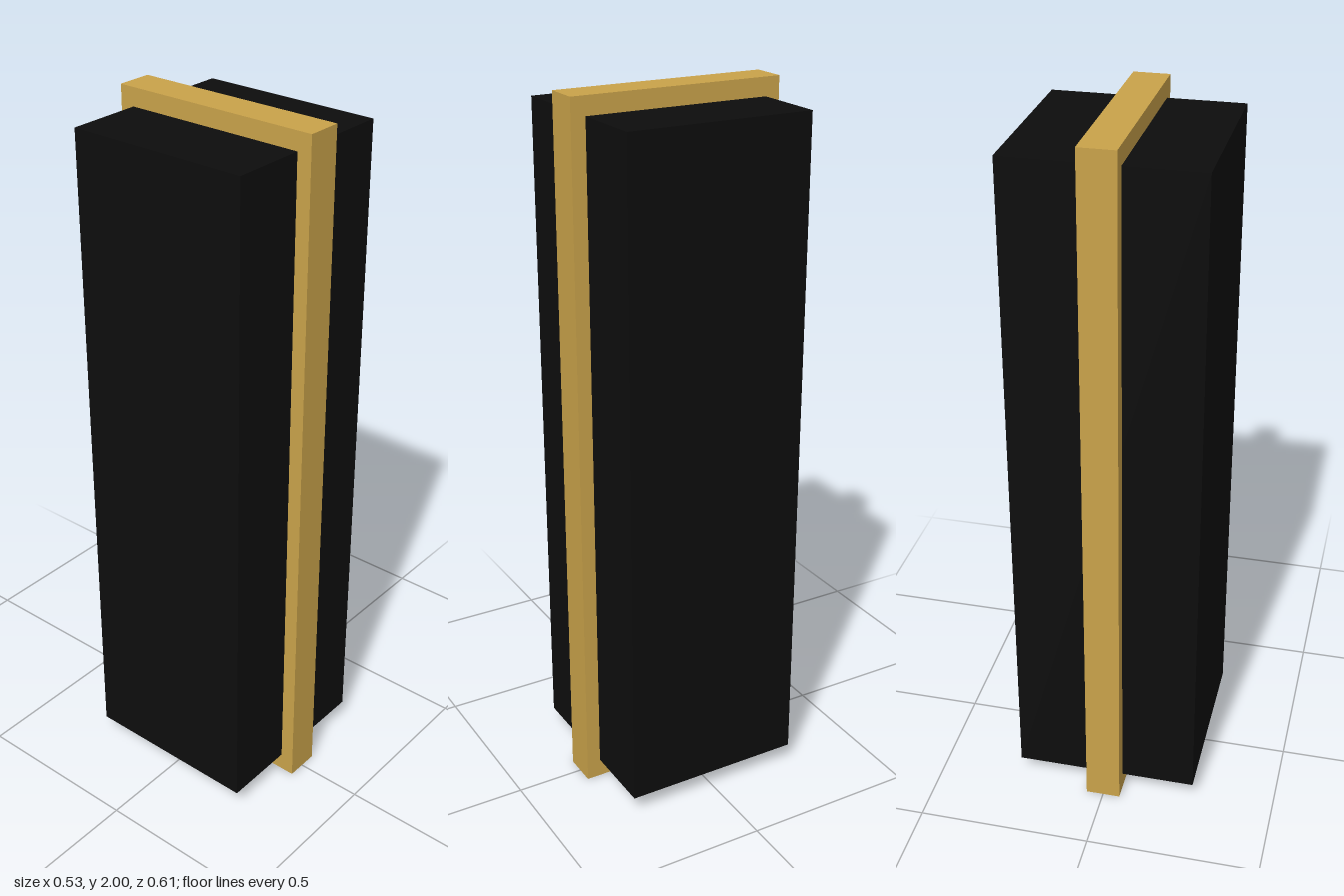
import * as THREE from 'three';

// Box from its size and the height of its underside
function block(name, color, width, height, depth, bottom) {
  const mesh = new THREE.Mesh(
    new THREE.BoxGeometry(width, height, depth),
    new THREE.MeshStandardMaterial({ color })
  );
  mesh.name = name;
  mesh.position.y = bottom + height / 2;
  return mesh;
}

export function createModel() {
  const model = new THREE.Group();
  model.name = 'bandedPillar';

  // Dark square pillar
  model.add(block('pillarBody', 0x0d0d0d, 0.526, 1.895, 0.526, 0.054));

  // Gold band running around the front, top, back and underside
  model.add(block('goldBand', 0xc9a24a, 0.1, 2, 0.608, 0));

  return model;
}
